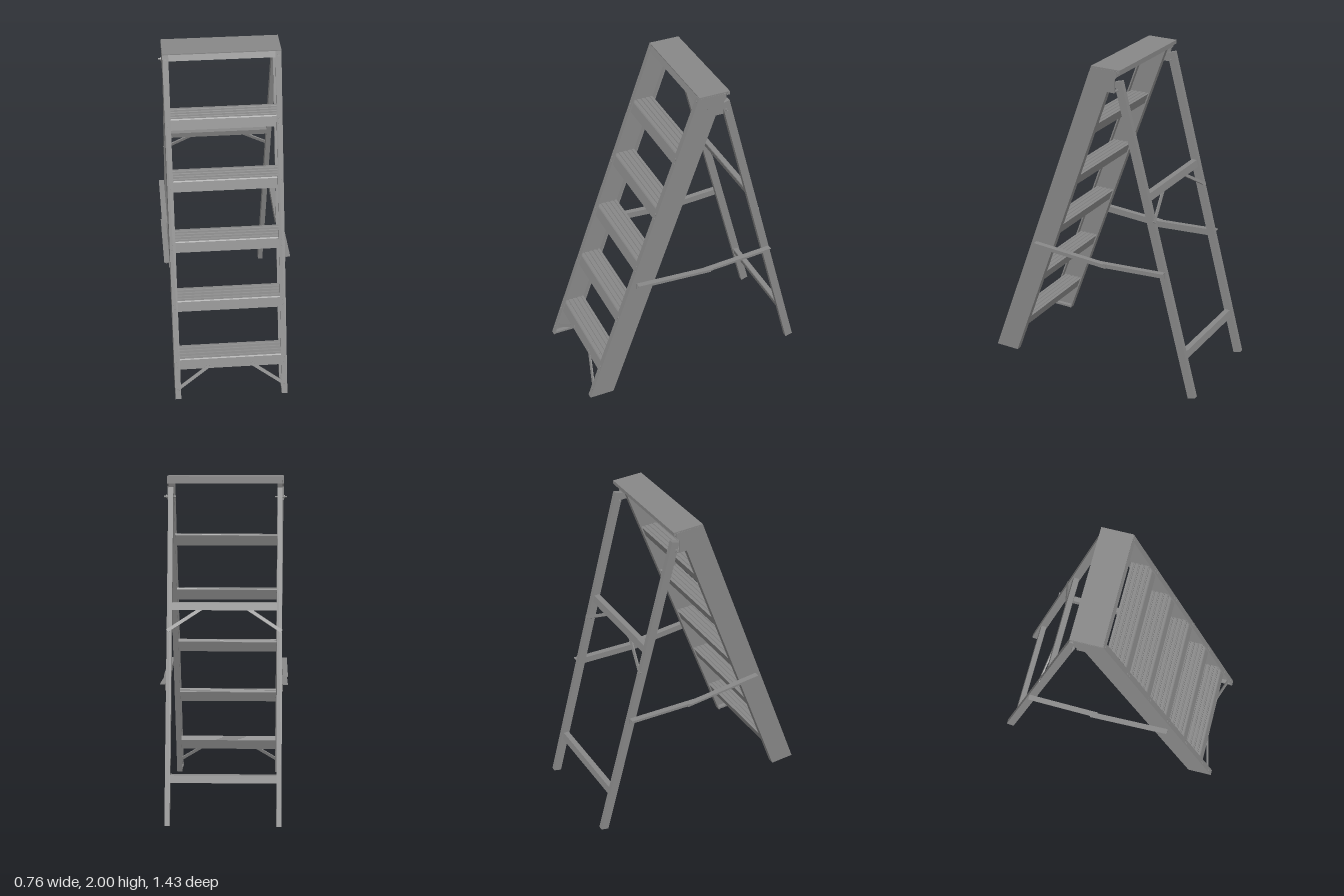
import * as THREE from 'three';

const mat = new THREE.MeshStandardMaterial({ color: 0x888888, flatShading: true });

const RAIL_SLOPE = -0.3625, RAIL_FRONT = 0.715, RAIL_DEPTH = 0.155;
const LEG_SLOPE = 0.266;
const railFront = (y) => RAIL_FRONT + RAIL_SLOPE * y;
const legBack = (y) => -0.712 + LEG_SLOPE * y;

function extrude(pts, depth) {
  const shape = new THREE.Shape(pts.map(([a, b]) => new THREE.Vector2(a, b)));
  return new THREE.ExtrudeGeometry(shape, { depth, bevelEnabled: false });
}

// Move every vertex by a rule, then refresh the normals
function warp(geo, rule) {
  const p = geo.attributes.position, v = new THREE.Vector3();
  for (let i = 0; i < p.count; i++) {
    rule(v.fromBufferAttribute(p, i));
    p.setXYZ(i, v.x, v.y, v.z);
  }
  geo.computeVertexNormals();
  return geo;
}

// Profile given as [z, y], running across x from x0 to x1
function acrossX(pts, x0, x1) {
  return extrude(pts, x1 - x0).rotateY(-Math.PI / 2).translate(x1, 0, 0);
}

// Profile given as [x, z], running upward and leaning by slope
function leaning(pts, y0, y1, slope, tilt = 0) {
  const geo = extrude(pts.map(([x, z]) => [x, -z]), y1 - y0).rotateX(-Math.PI / 2).translate(0, y0, 0);
  return warp(geo, (v) => {
    v.y -= tilt * v.z;
    v.z += slope * v.y;
  });
}

// C-channel outline in [x, z], web outside, flanges pointing inward
function channel(s, outer, inner, back, front, web, flange) {
  return [
    [outer, back], [outer, front], [inner, front], [inner, front - flange],
    [outer - web, front - flange], [outer - web, back + flange],
    [inner, back + flange], [inner, back],
  ].map(([x, z]) => [s * x, z]);
}

// Rectangle outline
const rect = (a0, a1, b0, b1) => [[a0, b0], [a1, b0], [a1, b1], [a0, b1]];

// Flat bar between two points
function bar(a, b, width, thick) {
  const A = new THREE.Vector3(...a), B = new THREE.Vector3(...b);
  const m = new THREE.Mesh(new THREE.BoxGeometry(thick, width, A.distanceTo(B)), mat);
  m.position.copy(A).add(B).multiplyScalar(0.5);
  m.up.set(1, 0, 0);
  m.lookAt(B);
  return m;
}

// Closed hollow-section profile following the lean, with optional grooves on top
function treadProfile(front, back, top, height, slope, ridges) {
  const lean = (z, y) => [z + slope * (y - top), y];
  const pts = [lean(front, top - height), lean(front, top - 0.006), [front - 0.003, top]];
  const step = (front - back) / (ridges + 0.5);
  for (let i = 0; i < ridges; i++) {
    const z = front - step * (i + 0.6);
    pts.push([z, top], [z - 0.002, top - 0.005], [z - 0.008, top - 0.005], [z - 0.01, top]);
  }
  pts.push([back, top], lean(back, top - height));
  return pts;
}

export function createModel() {
  const root = new THREE.Group();
  const add = (name, part) => {
    const m = part.isMesh ? part : new THREE.Mesh(part, mat);
    m.name = name;
    root.add(m);
    return m;
  };
  const pin = (name, x0, x1, y, z, r) =>
    add(name, new THREE.CylinderGeometry(r, r, Math.abs(x1 - x0), 12).rotateZ(Math.PI / 2)
      .translate((x0 + x1) / 2, y, z));

  // Treads
  for (let i = 0; i < 5; i++) {
    const top = 0.235 + 0.35 * i, f = railFront(top) - 0.013;
    add('tread', acrossX(treadProfile(f, f - 0.13, top, 0.063, RAIL_SLOPE, 4), -0.337, 0.337));
  }

  // Rear cross bars
  for (const top of [0.295, 1.27]) {
    const b = legBack(top) + 0.004;
    add('rearCrossBar', acrossX(treadProfile(b + 0.036, b, top, 0.043, LEG_SLOPE, 0), -0.333, 0.333));
  }

  // Top cap with front skirt and rolled rear lip
  add('topCap', acrossX([[-0.01, 2], [-0.01, 1.994], [-0.186, 1.994], [-0.186, 1.986],
    [-0.182, 1.986], [-0.182, 1.978], [-0.198, 1.978], [-0.198, 2]], -0.346, 0.346));
  add('capSkirt', acrossX([[-0.012, 1.995], [0.003, 1.96], [-0.006, 1.96], [-0.022, 1.995]], -0.337, 0.337));
  add('capRearSkirt', acrossX(rect(-0.178, -0.17, 1.957, 1.995), -0.337, 0.337));

  for (const s of [1, -1]) {
    const side = s > 0 ? 'left' : 'right';

    // Front rail and its foot pad
    const back = RAIL_FRONT - RAIL_DEPTH;
    add(side + 'FrontRail', leaning(
      channel(s, 0.345, 0.31, back, RAIL_FRONT, 0.008, 0.009), 0, 1.995, RAIL_SLOPE));
    add(side + 'FootPad', leaning(
      rect(s * 0.312, s * 0.342, back + 0.004, RAIL_FRONT - 0.004), 0.001, 0.015, RAIL_SLOPE));

    // Rear leg, its ends cut square to its length
    add(side + 'RearLeg', leaning(rect(s * 0.308, s * 0.338, -0.028, 0.0225), 0.007, 1.928, LEG_SLOPE, 0.27)
      .translate(0, 0, -0.6895));

    // Hinge plate and bolt
    const plate = [[-0.02, 1.99], [-0.178, 1.99], [-0.178, 1.957], [-0.162, 1.94], [-0.162, 1.86], [-0.09, 1.86]];
    add(side + 'HingePlate', acrossX(plate, s > 0 ? 0.339 : -0.346, s > 0 ? 0.346 : -0.339));
    pin(side + 'HingeBolt', s * 0.294, s * 0.365, 1.88, -0.18, 0.005);
    pin(side + 'HingeBoltHead', s * 0.346, s * 0.353, 1.88, -0.18, 0.01);

    // Folding spreader: two angle bars meeting at a sagging joint
    const spreader = (name, x, za, ya, zb, yb) => {
      const L = [[x, 0], [x + 0.033, 0], [x + 0.033, -0.005], [x + 0.005, -0.005], [x + 0.005, -0.041], [x, -0.041]];
      const geo = extrude(L.map(([a, b]) => [s * a, b]), zb - za).translate(0, 0, za);
      add(name, warp(geo, (v) => { v.y += ya + (yb - ya) * (v.z - za) / (zb - za); }));
    };
    spreader(side + 'FrontSpreader', 0.347, -0.1, 0.782, 0.39, 0.81);
    spreader(side + 'RearSpreader', 0.34, -0.5, 0.81, -0.06, 0.78);

    // Diagonal braces under the bottom tread and the upper rear bar
    add(side + 'FrontBrace', bar([s * 0.335, 0.05, 0.686], [s * 0.12, 0.192, 0.629], 0.02, 0.008));
    add(side + 'RearBrace', bar([s * 0.335, 1.11, -0.421], [s * 0.12, 1.245, -0.37], 0.02, 0.008));

    // Rivets on the front flange
    const rivet = (x, y, z) => {
      const m = add('rivet', new THREE.CylinderGeometry(0.007, 0.007, 0.006, 12));
      m.position.set(s * x, y, z);
      m.rotation.x = Math.PI / 2 - 0.348;
    };
    for (let i = 0; i < 5; i++) {
      for (const y of [0.22 + 0.35 * i, 0.19 + 0.35 * i]) rivet(0.328, y, railFront(y));
    }
    rivet(0.328, 1.97, railFront(1.97));
    rivet(0.328, 0.055, railFront(0.055));
    rivet(0.125, 0.188, railFront(0.188) - 0.012);
  }
  return root;
}
